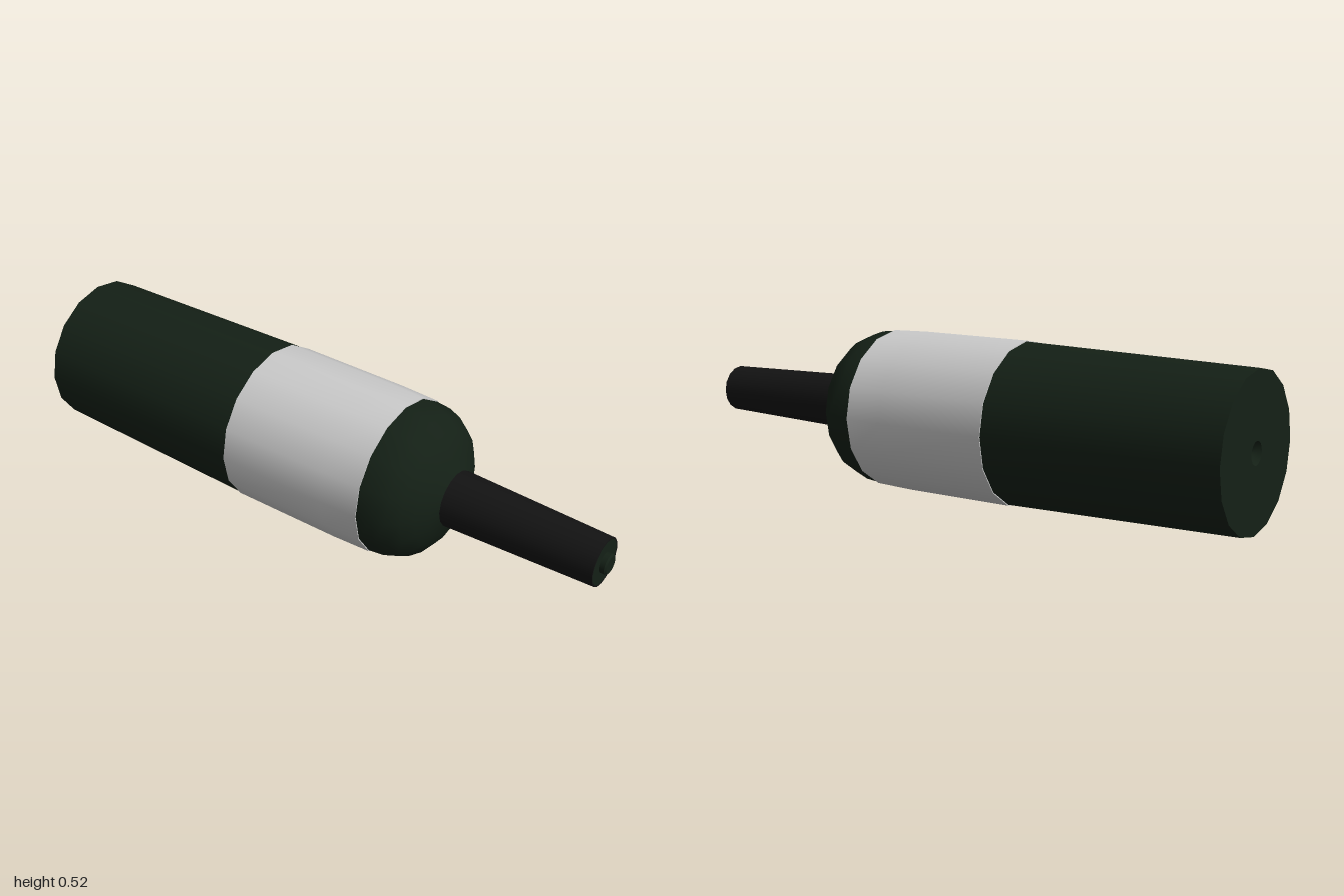
import * as THREE from 'three';
import { toCreasedNormals } from 'three/addons/utils/BufferGeometryUtils.js';

const SIDES = 16;
const AXIS_Y = 0.262;

// Turned part lying along z; profile is [radius, z] from back to front
function turned(name, color, profile) {
  const points = profile.map(([r, z]) => new THREE.Vector2(r, z));
  const geometry = new THREE.LatheGeometry(points, SIDES);
  geometry.rotateX(Math.PI / 2);
  const material = new THREE.MeshStandardMaterial({ color, side: THREE.DoubleSide });
  const mesh = new THREE.Mesh(toCreasedNormals(geometry, 0.7), material);
  mesh.name = name;
  mesh.position.y = AXIS_Y;
  return mesh;
}

export function createModel() {
  const bottle = new THREE.Group();
  bottle.name = 'bottle';

  // Glass: dimpled base, slightly tapered body, round shoulder, neck, closed mouth
  bottle.add(turned('glassBody', 0x142016, [
    [0, -0.98], [0.033, -0.995], [0.036, -1], [0.244, -1],
    [0.259, -0.23], [0.259, 0.02], [0.255, 0.28],
    [0.25, 0.33], [0.235, 0.373], [0.208, 0.408], [0.172, 0.435], [0.13, 0.456], [0.086, 0.475],
    [0.074, 0.97], [0.074, 0.979], [0, 0.979],
  ]));

  // Label wrapped all the way round the body
  bottle.add(turned('label', 0xcccccc, [
    [0.259, -0.23], [0.262, -0.23], [0.262, 0.15], [0.258, 0.28], [0.254, 0.28],
  ]));

  // Foil sleeve on the neck
  bottle.add(turned('neckSleeve', 0x131313, [
    [0.086, 0.47], [0.092, 0.47], [0.078, 0.98], [0.073, 0.98],
  ]));

  // Stopper end
  bottle.add(turned('stopper', 0x142016, [
    [0.033, 0.97], [0.033, 0.995], [0.028, 1], [0, 1],
  ]));

  return bottle;
}
